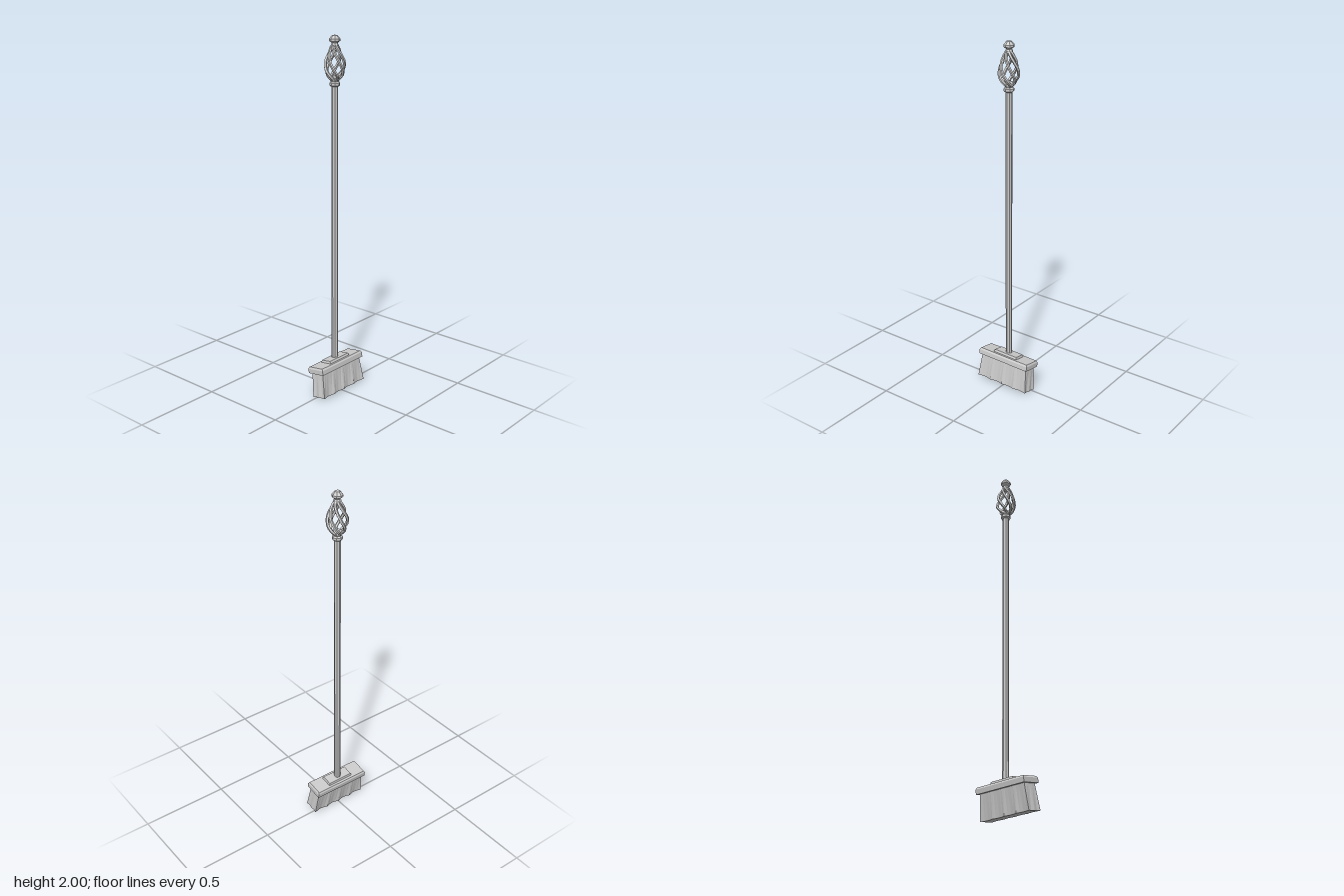
import * as THREE from 'three';

const mat = new THREE.MeshStandardMaterial({ color: 0xcccccc, flatShading: true });

function add(parent, name, geometry, x = 0, y = 0, z = 0) {
  const mesh = new THREE.Mesh(geometry, mat);
  mesh.name = name;
  mesh.position.set(x, y, z);
  parent.add(mesh);
  return mesh;
}

// Box standing on y = 0 whose top face is inset on every side
function bevelBlock(w, h, d, inset) {
  const g = new THREE.BoxGeometry(w, h, d).translate(0, h / 2, 0);
  const p = g.attributes.position;
  for (let i = 0; i < p.count; i++) {
    if (p.getY(i) < h / 2) continue;
    p.setX(i, p.getX(i) - Math.sign(p.getX(i)) * inset);
    p.setZ(i, p.getZ(i) - Math.sign(p.getZ(i)) * inset);
  }
  return g;
}

function lathe(points, sides) {
  return new THREE.LatheGeometry(points.map(([r, y]) => new THREE.Vector2(r, y)), sides);
}

// Bristle block: flares downward, lower edge scalloped between pointed tufts
function bristleBlock() {
  const h = 0.145, pitch = 0.0825;
  const g = new THREE.BoxGeometry(0.078, h, 0.31, 4, 1, 16);
  const p = g.attributes.position;
  for (let i = 0; i < p.count; i++) {
    if (p.getY(i) > 0) continue;
    const x = p.getX(i), z = p.getZ(i) * 0.33 / 0.31;
    const sideScallop = Math.abs(Math.sin(Math.PI * z / pitch));
    const endScallop = Math.abs(Math.sin(Math.PI * x / 0.039));
    p.setX(i, x * (1.1 - 0.24 * sideScallop));
    p.setZ(i, Math.abs(z) > 0.164 ? z * (1.025 - 0.03 * endScallop) : z);
  }
  g.computeVertexNormals();
  return g;
}

// One twisted cage bar, swelling low and closing at both ends
function cageBar(start) {
  const radii = [[0.016, 1.77], [0.036, 1.79], [0.049, 1.82], [0.049, 1.86], [0.036, 1.9], [0.022, 1.93], [0.011, 1.95]];
  const pts = radii.map(([r, y], i) => {
    const a = start + (i / (radii.length - 1)) * Math.PI * 0.85;
    return new THREE.Vector3(r * Math.cos(a), y, r * Math.sin(a));
  });
  return new THREE.TubeGeometry(new THREE.CatmullRomCurve3(pts), 12, 0.0085, 5, false);
}

export function createModel() {
  const model = new THREE.Group();
  model.name = 'broom';

  // Tilted head
  const head = new THREE.Group();
  head.name = 'head';
  head.position.set(-0.004, 0.182, 0);
  head.rotation.set(0, -0.015, 0.16);
  model.add(head);
  add(head, 'capBase', new THREE.BoxGeometry(0.108, 0.026, 0.338), 0, -0.023, 0);
  add(head, 'capBevel', bevelBlock(0.108, 0.01, 0.338, 0.006), 0, -0.01, 0);
  add(head, 'mountingPlate', bevelBlock(0.07, 0.013, 0.16, 0.004), 0, 0, 0);
  add(head, 'bristles', bristleBlock(), 0, -0.103, 0);

  // Upright pole with cage handle
  const handle = new THREE.Group();
  handle.name = 'handle';
  handle.position.x = -0.007;
  model.add(handle);
  add(handle, 'pole', new THREE.CylinderGeometry(0.018, 0.018, 1.57, 8), 0, 0.965, 0);
  add(handle, 'collar', lathe([
    [0, 1.735], [0.02, 1.735], [0.028, 1.742], [0.028, 1.755], [0.021, 1.762],
    [0.027, 1.772], [0.027, 1.782], [0.014, 1.792], [0, 1.792],
  ], 8));

  // Six twisted bars
  const cage = new THREE.Group();
  cage.name = 'cage';
  handle.add(cage);
  for (let i = 0; i < 6; i++) add(cage, 'cageBar', cageBar(i * Math.PI / 3));

  // Finial on top
  add(handle, 'finial', lathe([
    [0, 1.93], [0.014, 1.93], [0.02, 1.942], [0.02, 1.952], [0.015, 1.96],
    [0.029, 1.971], [0.029, 1.982], [0.014, 2], [0, 2],
  ], 8));

  return model;
}
